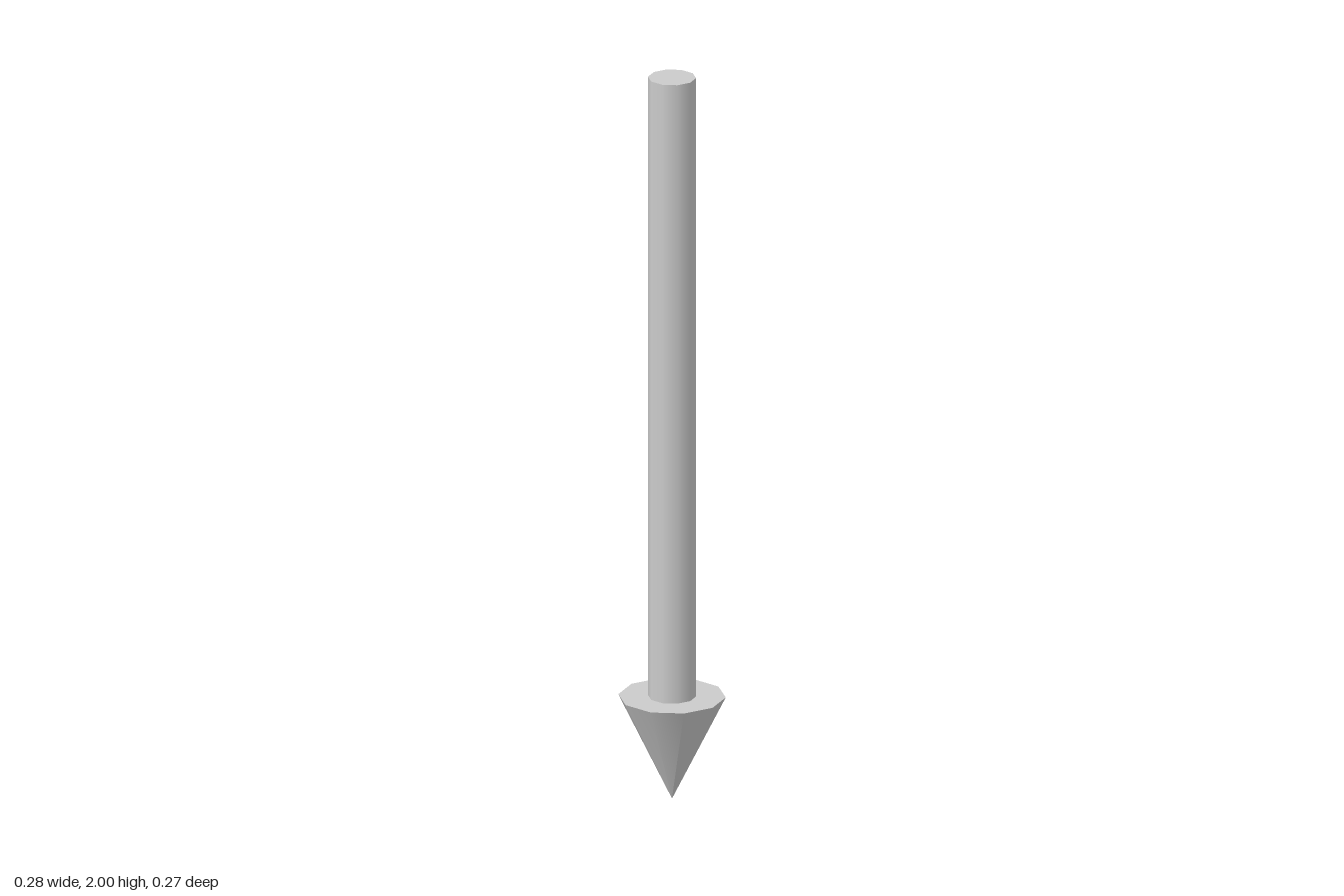
import * as THREE from 'three';

const SIDES = 10;
const HEAD_HEIGHT = 0.285;
const TOTAL_HEIGHT = 2;

export function createModel() {
  const group = new THREE.Group();
  group.name = 'downArrow';
  const material = new THREE.MeshStandardMaterial({ color: 0xcccccc });

  // Ten-sided round part standing between two heights, with corners on the x axis
  const addRound = (name, topRadius, bottomRadius, bottom, top) => {
    const geometry = new THREE.CylinderGeometry(
      topRadius, bottomRadius, top - bottom, SIDES, 1, false, Math.PI / 2);
    const mesh = new THREE.Mesh(geometry, material);
    mesh.name = name;
    mesh.position.y = (bottom + top) / 2;
    group.add(mesh);
  };

  // Pointed head, tip on the ground
  addRound('arrowHead', 0.141, 0, 0, HEAD_HEIGHT);
  // Long straight shaft
  addRound('shaft', 0.063, 0.063, HEAD_HEIGHT, TOTAL_HEIGHT);

  return group;
}
